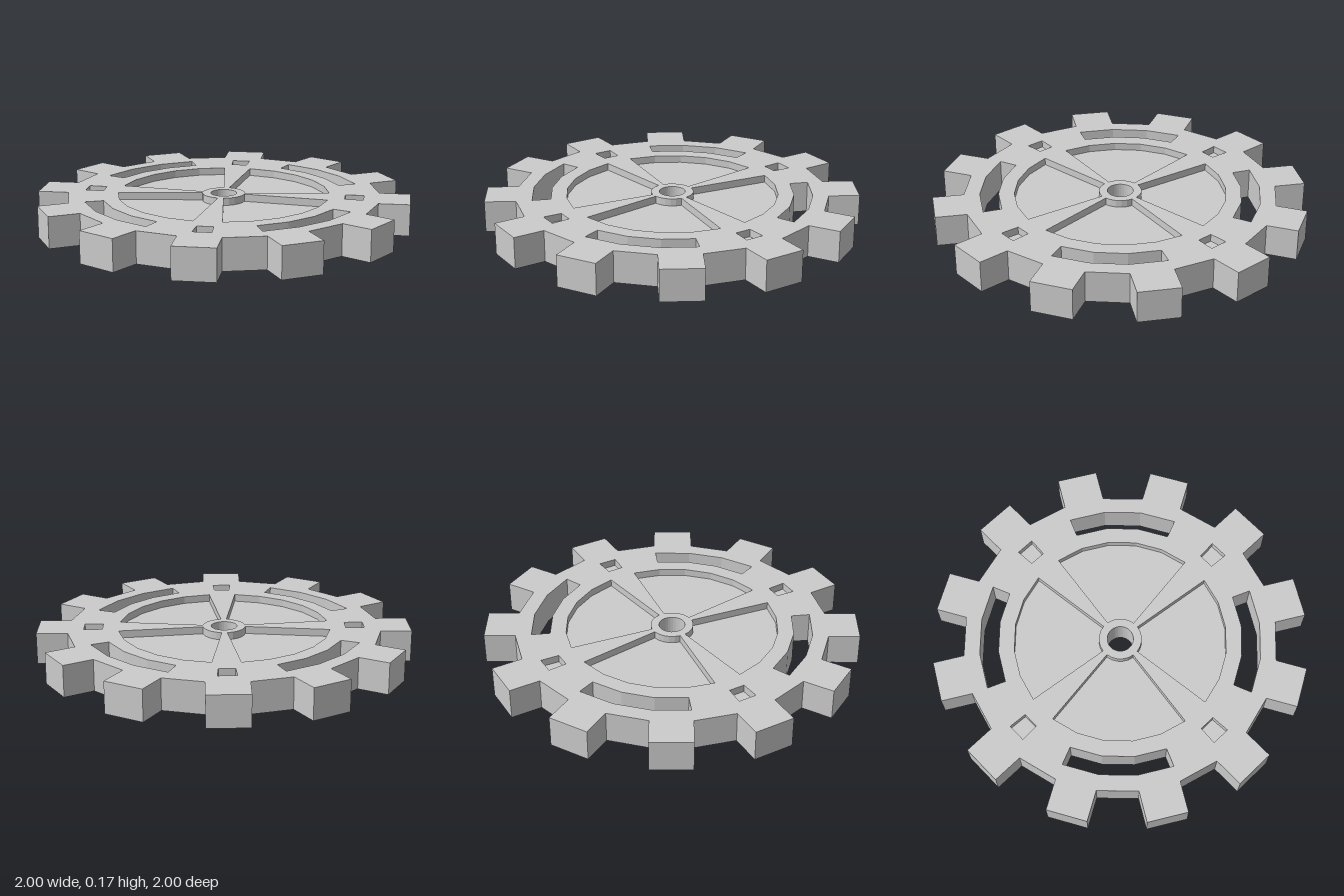
import * as THREE from 'three';

const HEIGHT = 0.17, RECESS = 0.04, TEETH = 12, STEP = 15;
const material = new THREE.MeshStandardMaterial({ color: 0xcccccc, flatShading: true });

// Point at a radius and an angle in degrees
const polar = (r, deg) => {
  const a = THREE.MathUtils.degToRad(deg);
  return new THREE.Vector2(r * Math.cos(a), r * Math.sin(a));
};

// Faceted ring sector between two radii and two angles
function sector(inner, outer, from, to, step = STEP) {
  const n = Math.max(1, Math.round((to - from) / step));
  const outside = [], inside = [];
  for (let i = 0; i <= n; i++) {
    const a = from + (to - from) * i / n;
    outside.push(polar(outer, a));
    inside.unshift(polar(inner, a));
  }
  return [...outside, ...inside];
}

// Solid lying flat, from height y0 to y1
function plate(name, points, y0, y1, holes = []) {
  const shape = new THREE.Shape(points);
  shape.holes = holes.map((h) => new THREE.Path(h));
  const geometry = new THREE.ExtrudeGeometry(shape, { depth: y1 - y0, bevelEnabled: false });
  geometry.rotateX(-Math.PI / 2).translate(0, y0, 0);
  const mesh = new THREE.Mesh(geometry, material);
  mesh.name = name;
  return mesh;
}

export function createModel() {
  const group = new THREE.Group();
  group.name = 'gearWheel';

  // Toothed outline: straight-sided teeth on a faceted rim
  const outline = [];
  const half = 0.84 * Math.sin(THREE.MathUtils.degToRad(STEP / 2));
  for (let i = 0; i < TEETH; i++) {
    const a = i * 360 / TEETH;
    const tip = Math.hypot(1, half), spread = THREE.MathUtils.radToDeg(Math.atan(half));
    outline.push(polar(0.84, a - STEP / 2), polar(tip, a - spread),
      polar(tip, a + spread), polar(0.84, a + STEP / 2));
  }

  // Openings, repeated in each quarter
  const bore = Array.from({ length: 32 }, (_, i) => polar(0.07, i * 360 / 32));
  const panels = [], pockets = [], slots = [];
  for (let q = 0; q < 360; q += 90) {
    panels.push(sector(0.115, 0.57, q + 7.5, q + 82.5));
    slots.push(sector(0.655, 0.755, q + 22.5, q + 67.5));
    pockets.push(sector(0.655, 0.755, q - 3.75, q + 3.75));
  }

  // Rim, spokes and hub in one piece
  group.add(plate('wheelBody', outline, 0, HEIGHT, [bore, ...panels, ...slots, ...pockets]));

  // Thin webs that leave recesses on both faces
  panels.forEach((p, i) => group.add(plate(`webPanel${i + 1}`, p, RECESS, HEIGHT - RECESS)));
  pockets.forEach((p, i) => group.add(plate(`pocketFloor${i + 1}`, p, RECESS, HEIGHT - RECESS)));

  return group;
}
